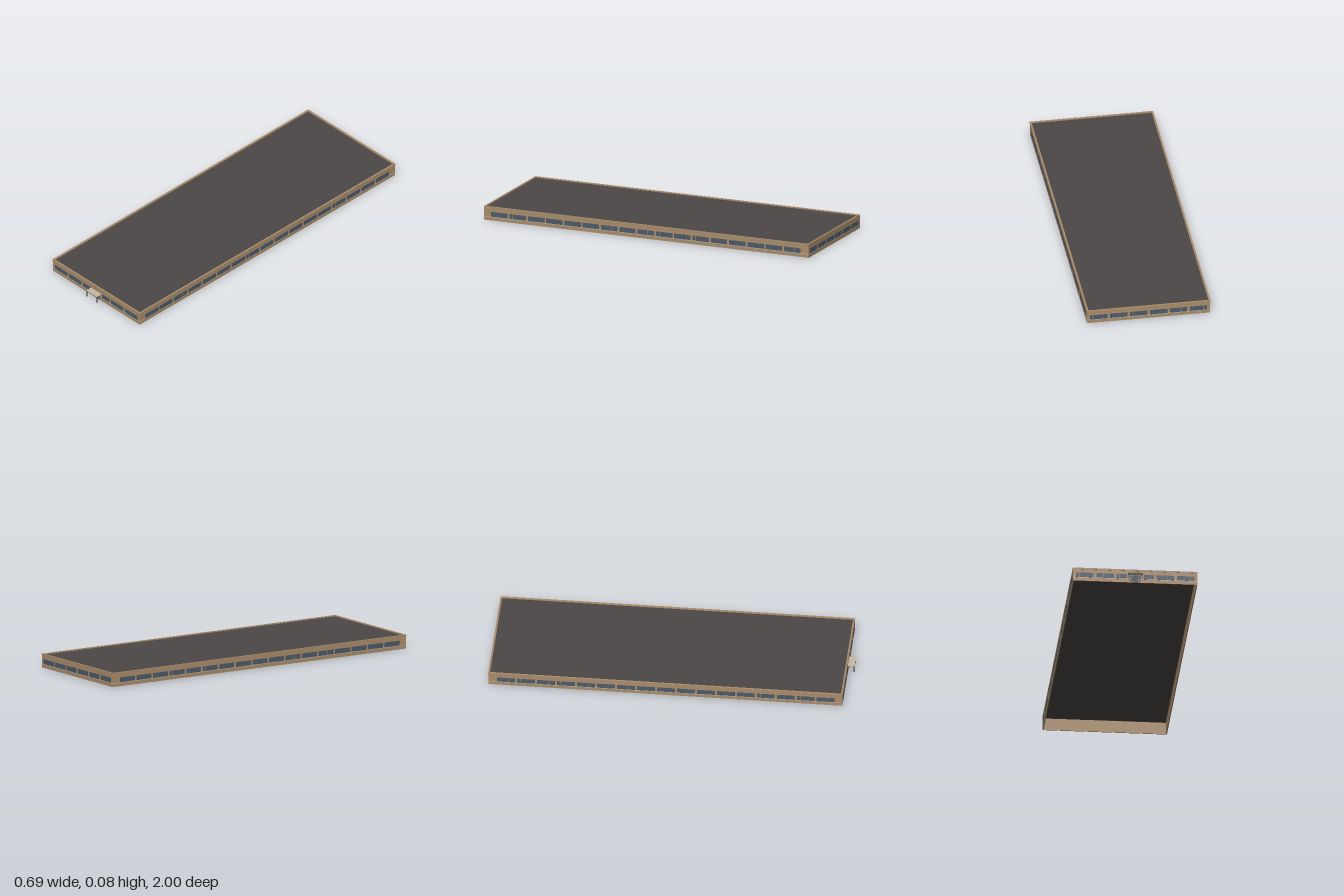
import * as THREE from 'three';

const mat = (name, color) => {
  const m = new THREE.MeshStandardMaterial({ color });
  m.name = name;
  return m;
};

export function createModel() {
  const tan = mat('tan wall', 0xa98c6b);
  const roofGrey = mat('dark roof', 0x4b4746);
  const glass = mat('blue grey glass', 0x4c5a68);
  const pale = mat('pale stone', 0xc4baa4);
  const dark = mat('dark metal', 0x2b2b30);
  const doorGrey = mat('door grey', 0x47454a);

  const model = new THREE.Group();
  model.name = 'longLowBuilding';
  const hall = new THREE.Group();
  hall.name = 'hall';
  hall.position.z = -0.0175;
  model.add(hall);

  const HX = 0.344, HZ = 0.981; // half size of the outer walls

  const box = (parent, name, m, w, h, d, x, y, z) => {
    const mesh = new THREE.Mesh(new THREE.BoxGeometry(w, h, d), m);
    mesh.name = name;
    mesh.position.set(x, y, z);
    parent.add(mesh);
    return mesh;
  };

  // Rectangular band around the building, open in the middle
  const ring = (name, m, out, thick, y0, y1) => {
    const rect = (target, a, b) => {
      target.moveTo(-a, -b).lineTo(a, -b).lineTo(a, b).lineTo(-a, b).closePath();
      return target;
    };
    const shape = rect(new THREE.Shape(), HX + out, HZ + out);
    shape.holes.push(rect(new THREE.Path(), HX + out - thick, HZ + out - thick));
    const geo = new THREE.ExtrudeGeometry(shape, { depth: y1 - y0, bevelEnabled: false });
    geo.rotateX(-Math.PI / 2);
    const mesh = new THREE.Mesh(geo, m);
    mesh.name = name;
    mesh.position.y = y0;
    hall.add(mesh);
  };

  ring('walls', tan, 0, 0.005, 0, 0.073);
  ring('sillBand', pale, 0.0008, 0.003, 0.0192, 0.0218);
  ring('parapet', tan, 0.0015, 0.01, 0.069, 0.078);
  box(hall, 'roof', roofGrey, 2 * HX - 0.006, 0.003, 2 * HZ - 0.006, 0, 0.0705, 0);

  // One window bay of two panes, lying in a facade that faces local +z
  const bay = (facade, x0, x1, split) => {
    const gap = 0.0008;
    [[x0, split - gap], [split + gap, x1]].forEach(([a, b]) =>
      box(facade, 'windowPane', glass, b - a, 0.027, 0.002, (a + b) / 2, 0.0355, 0));
  };
  const facade = (name, angle, x, z) => {
    const g = new THREE.Group();
    g.name = name;
    g.rotation.y = angle;
    g.position.set(x, 0, z);
    hall.add(g);
    return g;
  };

  // End facades: the front leaves room for the entrance
  const front = facade('frontWindows', 0, 0, HZ);
  const back = facade('backWindows', Math.PI, 0, -HZ);
  for (const s of [-1, 1]) {
    const mirrored = (f, a, b, c) => bay(f, Math.min(s * a, s * b), Math.max(s * a, s * b), s * c);
    for (const f of [front, back]) {
      mirrored(f, 0.327, 0.23, 0.307);
      mirrored(f, 0.215, 0.118, 0.177);
    }
    mirrored(front, 0.104, 0.047, 0.086);
    mirrored(back, 0.104, 0.007, 0.086);
  }

  // Long facades: seventeen bays each
  for (const s of [-1, 1]) {
    const side = facade(s > 0 ? 'leftWindows' : 'rightWindows', s * Math.PI / 2, s * HX, 0.003);
    for (let i = 0; i < 17; i++) {
      const c = (i - 8) * 0.1107;
      bay(side, c - 0.0495, c + 0.0495, c + (i % 2 ? -0.03 : 0.012));
    }
  }

  // Entrance: glazed surround, door leaf and porch
  const entrance = new THREE.Group();
  entrance.name = 'entrance';
  model.add(entrance);
  const zf = HZ - 0.0175;
  box(entrance, 'entranceFrame', tan, 0.07, 0.042, 0.002, 0, 0.0225, zf + 0.001);
  box(entrance, 'lowerGlazing', glass, 0.064, 0.013, 0.002, 0, 0.0125, zf + 0.0018);
  box(entrance, 'upperGlazing', glass, 0.064, 0.019, 0.002, 0, 0.031, zf + 0.0018);
  box(entrance, 'glazingRail', pale, 0.064, 0.0018, 0.002, 0, 0.0203, zf + 0.0018);
  box(entrance, 'doorLeaf', doorGrey, 0.026, 0.032, 0.002, 0, 0.022, zf + 0.0026);
  box(entrance, 'canopy', pale, 0.082, 0.003, 1 - zf, 0, 0.0455, (1 + zf) / 2);
  for (const s of [-1, 1]) {
    box(entrance, 'canopyPost', dark, 0.0035, 0.04, 0.0035, s * 0.039, 0.024, 0.997);
  }
  return model;
}
